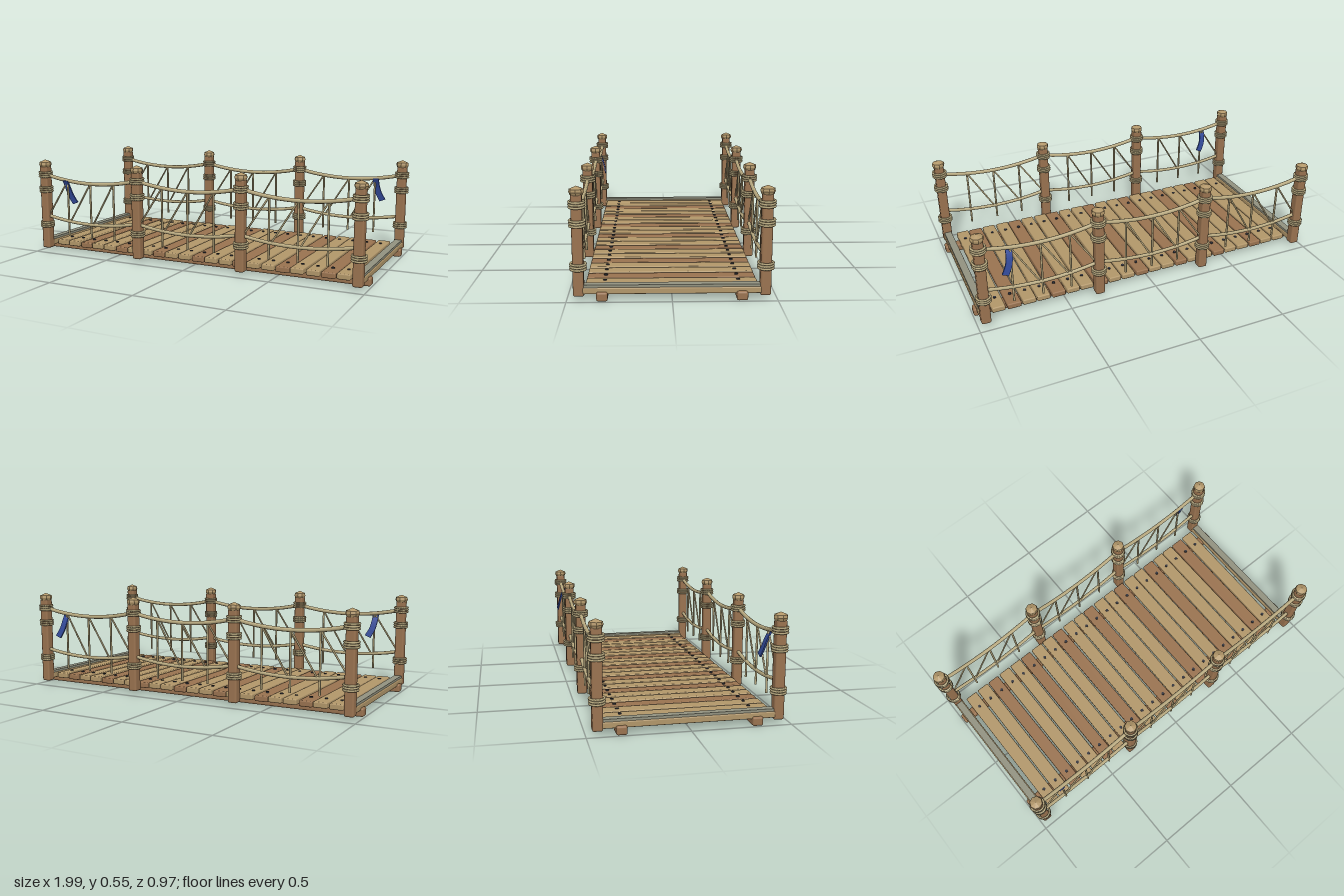
import * as THREE from 'three';
import { RoundedBoxGeometry } from 'three/addons/geometries/RoundedBoxGeometry.js';

const mat = (name, color, extra = {}) =>
  Object.assign(new THREE.MeshStandardMaterial({ color, ...extra }), { name });

export function createModel() {
  const model = new THREE.Group();
  model.name = 'ropeBridge';
  const brown = mat('brownWood', 0x9a7350);
  const tan = mat('tanWood', 0xb2976a);
  const capWood = mat('capWood', 0xb2976a, { flatShading: true });
  const rope = mat('rope', 0xb9aa80);
  const trim = mat('greyTrim', 0x929280);
  const iron = mat('iron', 0x35363e);
  const cloth = mat('blueCloth', 0x324a9a, { side: THREE.DoubleSide });

  const add = (name, geo, material, x = 0, y = 0, z = 0, parent = model) => {
    const m = new THREE.Mesh(geo, material);
    m.name = name;
    m.position.set(x, y, z);
    parent.add(m);
    return m;
  };

  const postX = [-0.955, -0.318, 0.318, 0.955];
  const railZ = 0.443;

  // Side beams under the deck
  const beamGeo = new RoundedBoxGeometry(1.99, 0.045, 0.054, 2, 0.01);
  for (const s of [-1, 1]) add('sideBeam', beamGeo, brown, 0, 0.0255, s * 0.332);

  // Deck planks, every third one darker, with a nail near each end
  const nailGeo = new THREE.CylinderGeometry(0.009, 0.009, 0.008, 8);
  for (let i = 0; i < 22; i++) {
    const x = (i - 10.5) * 0.083;
    const dark = i % 3 === 2;
    const wide = 0.074 + 0.002 * Math.sin(i * 2.3);
    const plank = add('plank', new RoundedBoxGeometry(wide, 0.032, 0.828, 2, 0.007),
      dark ? brown : tan, x, dark ? 0.051 : 0.053, 0);
    plank.rotation.y = 0.006 * Math.sin(i * 4.1);
    for (const s of [-1, 1]) add('nail', nailGeo, iron, x, 0.069, s * 0.323);
  }

  // Sills across both ends with a grey strip on top
  for (const s of [-1, 1]) {
    add('endSill', new RoundedBoxGeometry(0.05, 0.032, 0.85, 2, 0.006), tan, s * 0.955, 0.051, 0);
    add('endStrip', new THREE.BoxGeometry(0.04, 0.014, 0.85), trim, s * 0.955, 0.073, 0);
  }

  // Posts with faceted caps and rope lashings
  const postGeo = new RoundedBoxGeometry(0.052, 0.495, 0.052, 2, 0.01);
  const capGeo = new THREE.LatheGeometry(
    [[0, 0.508], [0.03, 0.51], [0.036, 0.525], [0.033, 0.539], [0, 0.553]]
      .map(([r, y]) => new THREE.Vector2(r, y)), 8);
  const wrapGeo = new THREE.TorusGeometry(0.036, 0.006, 6, 20).rotateX(Math.PI / 2);
  for (const x of postX) for (const s of [-1, 1]) {
    const g = new THREE.Group();
    g.name = 'railPost';
    g.position.set(x, 0, s * railZ);
    model.add(g);
    add('post', postGeo, brown, 0, 0.27, 0, g);
    add('postCap', capGeo, capWood, 0, 0, 0, g);
    for (const y of [0.466, 0.377, 0.167])
      for (let k = -1; k <= 1; k++) add('lashing', wrapGeo, rope, 0, y + k * 0.0125, 0, g);
  }

  // Sagging rails, hangers and diagonal lacing in each span
  const sag = (end, mid, t) => mid + (end - mid) * (2 * t - 1) ** 2;
  const cord = (name, a, b, r) => add(name,
    new THREE.TubeGeometry(new THREE.LineCurve3(a, b), 1, r, 6), rope);
  for (const s of [-1, 1]) for (let i = 0; i < 3; i++) {
    const z = s * railZ;
    const at = (end, mid, t) => new THREE.Vector3(
      THREE.MathUtils.lerp(postX[i], postX[i + 1], t), sag(end, mid, t), z);
    const top = t => at(0.465, 0.427, t);
    const low = t => at(0.22, 0.187, t);
    for (const [name, f, r] of [['topRope', top, 0.011], ['lowerRope', low, 0.01]]) {
      const pts = Array.from({ length: 9 }, (_, k) => f(k / 8));
      add(name, new THREE.TubeGeometry(new THREE.CatmullRomCurve3(pts), 20, r, 8), rope);
    }
    for (const t of [0.25, 0.5, 0.75]) {
      const a = top(t);
      cord('hanger', a, new THREE.Vector3(a.x, 0.107, z), 0.006);
      cord('lacing', low(t - 0.23), a, 0.005);
    }
  }

  // Cloth strips tied to the top rope, bent along a short curve
  const drop = new THREE.CatmullRomCurve3([
    new THREE.Vector3(0, 0.437, 0.012), new THREE.Vector3(0.002, 0.39, -0.01),
    new THREE.Vector3(0.012, 0.345, -0.022), new THREE.Vector3(0.035, 0.3, -0.032)]);
  const ribbon = new THREE.BoxGeometry(0.034, 1, 0.009, 1, 10, 1);
  const p = ribbon.attributes.position;
  for (let i = 0; i < p.count; i++) {
    const t = 0.5 - p.getY(i);
    const c = drop.getPoint(t);
    p.setXYZ(i, c.x + p.getX(i), c.y + p.getX(i) * 0.4 * t, c.z + p.getZ(i));
  }
  ribbon.computeVertexNormals();
  add('clothStrip', ribbon, cloth, -0.803, 0, railZ);
  add('clothStrip', ribbon, cloth, 0.803, 0, -railZ);

  return model;
}
